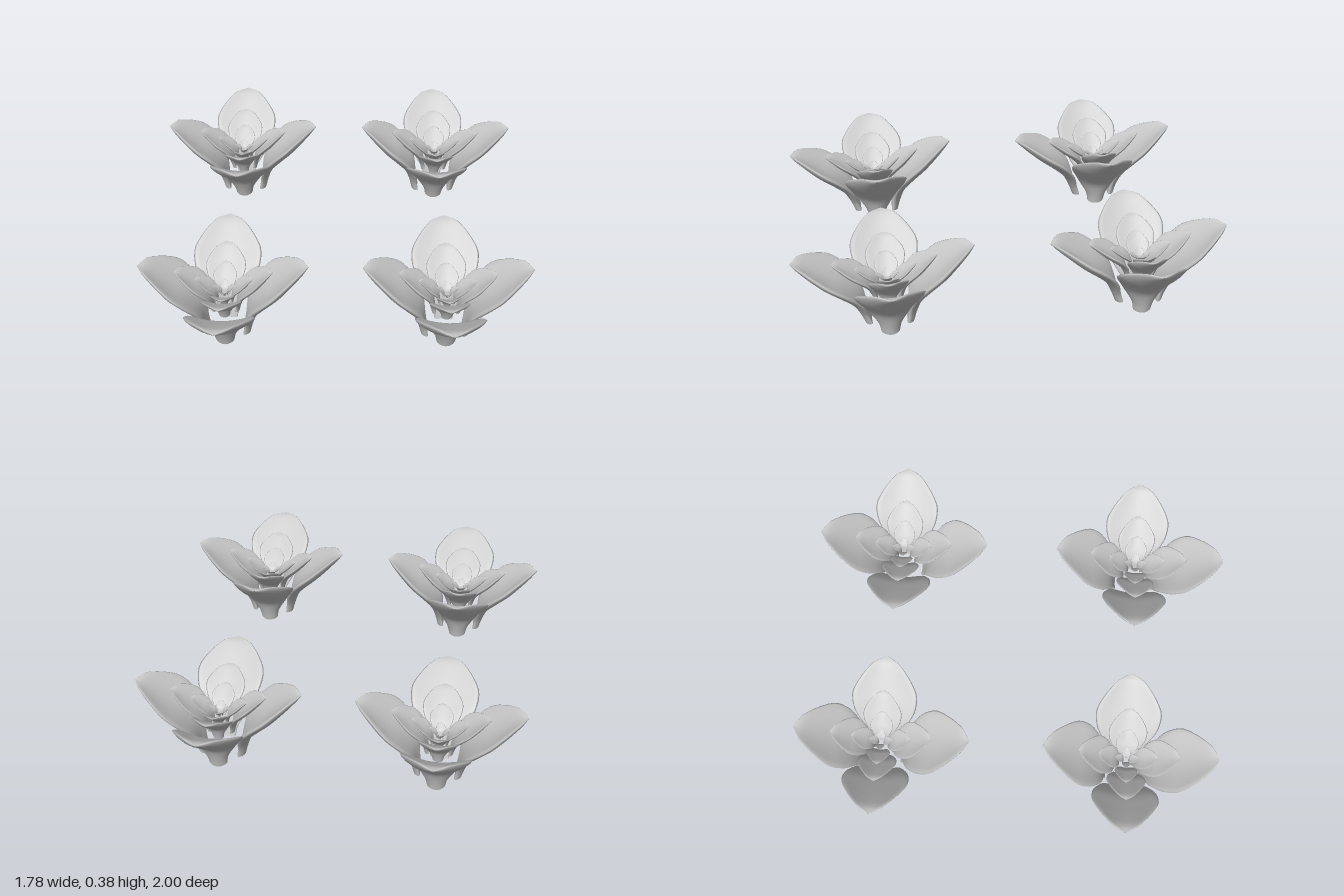
import * as THREE from 'three';

const material = new THREE.MeshStandardMaterial({ color: 0xcccccc, side: THREE.DoubleSide });

// Petal stations from foot to tip: distance out, height, half width, half thickness
const STATIONS = [
  [0.095, 0.003, 0.042, 0.016],
  [0.108, 0.06, 0.055, 0.018],
  [0.135, 0.14, 0.105, 0.022],
  [0.19, 0.21, 0.148, 0.025],
  [0.25, 0.265, 0.155, 0.023],
  [0.31, 0.32, 0.115, 0.018],
  [0.355, 0.36, 0.065, 0.012],
  [0.383, 0.377, 0.002, 0.002],
];
const CUP = 0.3; // how far the margins curl inward, relative to half width

// A cupped, lens-section petal growing up and out towards +z
function petalGeometry(rows = 22, sides = 20) {
  const spine = new THREE.CatmullRomCurve3(STATIONS.map(([r, y]) => new THREE.Vector3(0, y, r)));
  const section = new THREE.CatmullRomCurve3(STATIONS.map(([, , w, t], i) => new THREE.Vector3(w, t, i * 0.06)));
  const positions = [];
  const indices = [];

  for (let i = 0; i <= rows; i++) {
    const t = i / rows;
    const p = spine.getPoint(t);
    const d = spine.getTangent(t);
    const s = section.getPoint(t);
    for (let j = 0; j < sides; j++) {
      const a = (j / sides) * Math.PI * 2;
      const offset = s.y * Math.sin(a) + CUP * s.x * Math.cos(a) ** 2;
      positions.push(s.x * Math.cos(a), p.y + d.z * offset, p.z - d.y * offset);
    }
  }
  for (let i = 0; i < rows; i++) {
    for (let j = 0; j < sides; j++) {
      const k = (j + 1) % sides;
      const a = i * sides + j, b = i * sides + k;
      indices.push(a, b, a + sides, b, b + sides, a + sides);
    }
  }
  // Flat foot, with its own vertices so its edge stays sharp
  const foot = positions.length / 3;
  positions.push(...positions.slice(0, sides * 3));
  for (let j = 1; j < sides - 1; j++) indices.push(foot, foot + j + 1, foot + j);

  const geometry = new THREE.BufferGeometry();
  geometry.setAttribute('position', new THREE.Float32BufferAttribute(positions, 3));
  geometry.setIndex(indices);
  geometry.computeVertexNormals();
  return geometry;
}

// Direction, outward tilt, lift and stretch of the four petals in a whorl
const PETALS = [
  { name: 'frontPetal', turn: 0, tilt: 0.12, lift: 0.022, reach: 1 },
  { name: 'leftPetal', turn: Math.PI / 2, tilt: 0, lift: 0, reach: 1 },
  { name: 'backPetal', turn: Math.PI, tilt: 0, lift: 0, reach: 1.04 },
  { name: 'rightPetal', turn: -Math.PI / 2, tilt: 0, lift: 0, reach: 1 },
];

// Nested whorls, outermost first
const WHORLS = [
  { name: 'outerWhorl', size: 1, height: 0 },
  { name: 'middleWhorl', size: 0.58, height: 0.125 },
  { name: 'innerWhorl', size: 0.34, height: 0.175 },
  { name: 'heartWhorl', size: 0.13, height: 0.215 },
];

function createFlower(geometry) {
  const flower = new THREE.Group();
  flower.name = 'flower';
  for (const { name, size, height } of WHORLS) {
    const whorl = new THREE.Group();
    whorl.name = name;
    whorl.scale.setScalar(size);
    whorl.position.y = height;
    for (const p of PETALS) {
      const petal = new THREE.Mesh(geometry, material);
      petal.name = p.name;
      petal.rotation.set(p.tilt, p.turn, 0, 'YXZ');
      petal.position.y = p.lift;
      petal.scale.z = p.reach;
      whorl.add(petal);
    }
    flower.add(whorl);
  }
  return flower;
}

export function createModel() {
  const model = new THREE.Group();
  model.name = 'flowers';
  const geometry = petalGeometry();
  // Four flowers on a rectangle
  for (const x of [-0.505, 0.505]) {
    for (const z of [-0.6, 0.57]) {
      const flower = createFlower(geometry);
      flower.position.set(x, 0, z);
      model.add(flower);
    }
  }
  return model;
}
